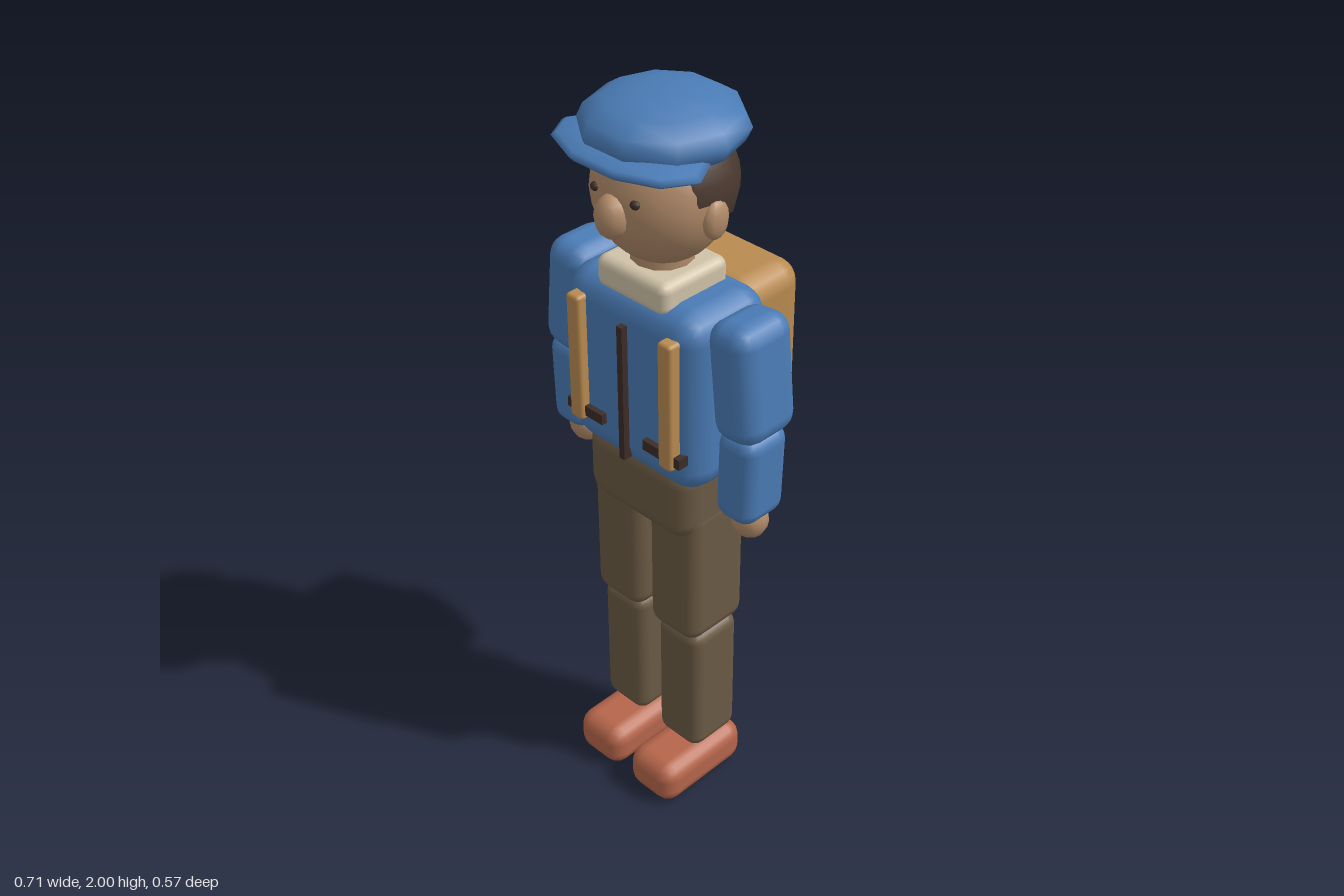
import * as THREE from 'three';
import { RoundedBoxGeometry } from 'three/addons/geometries/RoundedBoxGeometry.js';

const mat = (name, color) => {
  const m = new THREE.MeshStandardMaterial({ color });
  m.name = name;
  return m;
};

export function createModel() {
  const model = new THREE.Group();
  model.name = 'travellerFigure';

  const blue = mat('jacketBlue', 0x4a7bb5);
  const brown = mat('trouserBrown', 0x6b5a44);
  const rust = mat('shoeRust', 0xb5654a);
  const skin = mat('skin', 0xb08a69);
  const hairBrown = mat('hairBrown', 0x4a382f);
  const cream = mat('collarCream', 0xd0c2a8);
  const tan = mat('packTan', 0xb98a50);
  const dark = mat('trimDark', 0x3c2d28);

  const add = (name, geometry, material, x, y, z, rotZ = 0) => {
    const mesh = new THREE.Mesh(geometry, material);
    mesh.name = name;
    mesh.position.set(x, y, z);
    mesh.rotation.z = rotZ;
    model.add(mesh);
    return mesh;
  };
  // Soft-edged block: size, corner radius, centre
  const block = (name, material, [w, h, d], r, [x, y, z], rotZ) =>
    add(name, new RoundedBoxGeometry(w, h, d, 2, r), material, x, y, z, rotZ);
  // Ellipsoid: radii, centre, segment counts, optional cut-off angle from the top
  const ball = (name, material, [rx, ry, rz], [x, y, z], ws = 12, hs = 8, cut = Math.PI) =>
    add(name, new THREE.SphereGeometry(1, ws, hs, 0, Math.PI * 2, 0, cut).scale(rx, ry, rz), material, x, y, z);

  // Torso and hips
  block('hips', brown, [0.36, 0.23, 0.26], 0.06, [0, 0.98, 0.05]);
  block('jacket', blue, [0.44, 0.49, 0.275], 0.07, [0, 1.285, 0.058]);
  add('zipper', new THREE.BoxGeometry(0.018, 0.375, 0.03), dark, 0, 1.263, 0.198);
  add('neck', new THREE.CylinderGeometry(0.075, 0.08, 0.16, 12), skin, 0, 1.56, 0.07);
  block('collar', cream, [0.23, 0.085, 0.215], 0.025, [0, 1.543, 0.072]);

  // Limbs and front details, mirrored
  for (const [side, s] of [['left', 1], ['right', -1]]) {
    block(side + 'Shoe', rust, [0.162, 0.125, 0.3], 0.045, [s * 0.1, 0.0625, 0.095]);
    block(side + 'Shin', brown, [0.148, 0.405, 0.165], 0.035, [s * 0.102, 0.342, 0.053]);
    block(side + 'Thigh', brown, [0.166, 0.42, 0.2], 0.04, [s * 0.099, 0.745, 0.055]);
    block(side + 'UpperArm', blue, [0.135, 0.31, 0.18], 0.05, [s * 0.278, 1.377, 0.06], s * 0.1);
    block(side + 'Forearm', blue, [0.118, 0.255, 0.145], 0.04, [s * 0.289, 1.12, 0.068], s * -0.03);
    ball(side + 'Hand', skin, [0.05, 0.056, 0.046], [s * 0.287, 0.976, 0.066]);
    block(side + 'Strap', tan, [0.044, 0.35, 0.045], 0.01, [s * 0.152, 1.3, 0.199]);
    add(side + 'PocketTrim', new THREE.BoxGeometry(0.122, 0.028, 0.03), dark, s * 0.131, 1.153, 0.196);
    ball(side + 'Ear', skin, [0.021, 0.048, 0.037], [s * 0.165, 1.737, 0.067], 10, 8);
    ball(side + 'Eye', dark, [0.013, 0.011, 0.011], [s * 0.063, 1.79, 0.214], 8, 6);
  }

  // Head, hair and nose
  ball('head', skin, [0.168, 0.175, 0.158], [0, 1.76, 0.072], 16, 12);
  ball('hair', hairBrown, [0.171, 0.17, 0.158], [0, 1.78, 0.052], 16, 10, Math.PI * 0.605).material.side = THREE.DoubleSide;
  ball('nose', skin, [0.043, 0.054, 0.04], [0, 1.743, 0.225], 10, 8);

  // Flat cap
  ball('capCrown', blue, [0.196, 0.085, 0.197], [0, 1.915, 0.062], 10, 8);
  ball('capBrim', blue, [0.217, 0.028, 0.122], [0, 1.884, 0.168], 10, 8);

  // Backpack
  block('backpack', tan, [0.306, 0.4, 0.23], 0.06, [0, 1.3, -0.147]);
  block('backpackPocket', cream, [0.198, 0.1, 0.06], 0.025, [0, 1.22, -0.258]);

  return model;
}
